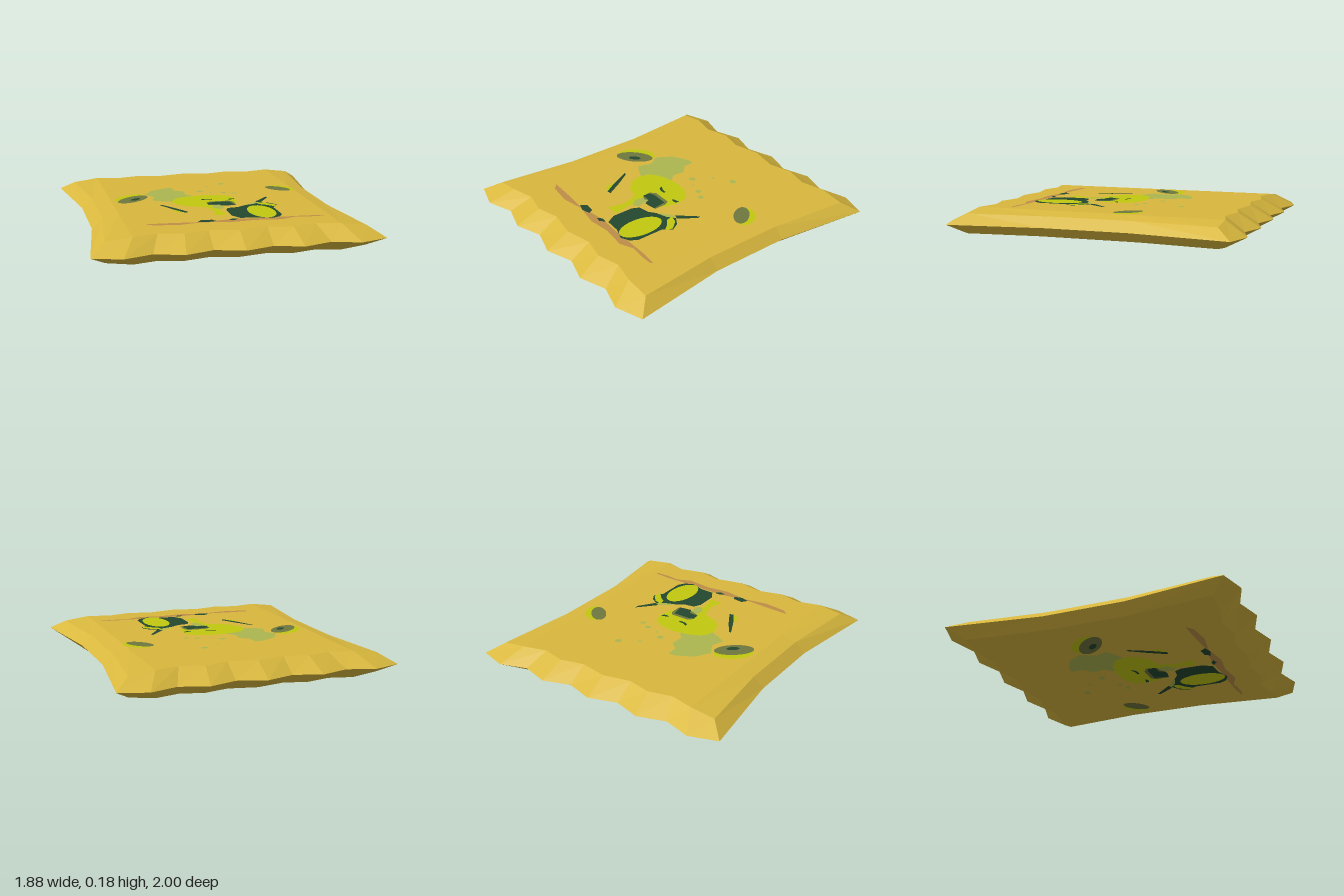
import * as THREE from 'three';

const MID = 0.09, HALF = 0.087;
const paint = (name, color) => new THREE.MeshStandardMaterial({ name, color });

export function createModel() {
  const group = new THREE.Group();
  group.name = 'snackBag';
  const bagYellow = paint('bagYellow', 0xd9b83e);
  const lime = paint('lime', 0xc2c80f);
  const darkGreen = paint('darkGreen', 0x23482f);
  const olive = paint('olive', 0x6f773e);
  const paleGreen = paint('paleGreen', 0xadb64f);
  const brown = paint('brown', 0xbe8e49);

  // Pillow-shaped bag: crimped ends, pinched sides, flat faces
  const rimX = [0, 0.19, 0.375, 0.565, 0.75, 0.94];
  const foldX = [0, 0.19, 0.35, 0.51, 0.67, 0.84];
  const foldZ = [0.84, 0.8, 0.84, 0.8, 0.84, 0.84];
  const point = (row, col, face) => {
    // rows: rim, fold, waist, waist, fold, rim; columns -6..6, the last being the side seam
    const sx = Math.sign(col), sz = row < 3 ? -1 : 1, k = Math.abs(col), i = Math.min(k, 5);
    const r = row < 3 ? row : 5 - row;
    const seam = k === 6;
    let x, z, h = 0;
    if (r === 0 || (seam && r === 1)) {
      x = rimX[i];
      z = i % 2 ? 0.94 : 1;
    } else if (r === 1) {
      x = foldX[i];
      z = foldZ[i];
    } else {
      x = seam ? 0.85 : k === 5 ? 0.78 : foldX[i];
      z = 0.28;
    }
    if (r === 0 && !seam) z = i === 5 || i % 2 === 1 ? zigzag(i) : zigzag(i);
    if (r > 0 && !seam) h = k === 5 ? 0.065 : HALF;
    return [sx * x, MID + face * h, sz * z];
  };
  function zigzag(i) { return i % 2 ? 0.94 : 1; }

  const verts = [];
  for (const face of [1, -1]) {
    for (let row = 0; row < 5; row++) {
      for (let col = -6; col < 6; col++) {
        const a = point(row, col, face), b = point(row, col + 1, face);
        const c = point(row + 1, col, face), d = point(row + 1, col + 1, face);
        const tris = face > 0 ? [a, c, b, b, c, d] : [a, b, c, b, d, c];
        verts.push(...tris.flat());
      }
    }
  }
  // Rim zigzag peaks between the corners
  const bagGeo = new THREE.BufferGeometry();
  bagGeo.setAttribute('position', new THREE.Float32BufferAttribute(verts, 3));
  bagGeo.computeVertexNormals();
  const bag = new THREE.Mesh(bagGeo, bagYellow);
  bag.name = 'bag';
  group.add(bag);

  // Printed shape on both faces; coordinates are x, z in hundredths
  const print = (name, mat, layer, coords) => {
    for (const s of [1, -1]) {
      const pts = [];
      for (let i = 0; i < coords.length; i += 2) {
        pts.push(new THREE.Vector2(coords[i] / 100, -s * coords[i + 1] / 100));
      }
      const geo = new THREE.ShapeGeometry(new THREE.Shape(pts));
      geo.rotateX(-s * Math.PI / 2);
      const mesh = new THREE.Mesh(geo, mat);
      mesh.name = name + (s > 0 ? 'Top' : 'Bottom');
      mesh.position.y = MID + s * (HALF + layer * 0.001);
      group.add(mesh);
    }
  };
  const oval = (name, mat, layer, x, z, a, b, degrees = 0) => {
    const t = degrees * Math.PI / 180, coords = [];
    for (let i = 0; i < 28; i++) {
      const u = i / 28 * Math.PI * 2, p = a * Math.cos(u), q = b * Math.sin(u);
      coords.push(x + p * Math.cos(t) - q * Math.sin(t), z + p * Math.sin(t) + q * Math.cos(t));
    }
    print(name, mat, layer, coords);
  };

  // Tilted cymbals
  oval('leftCymbal', lime, 1, -53, -12, 13.5, 8.5, -42);
  oval('leftCymbalFace', olive, 2, -51.5, -9, 13.5, 6.8, -40);
  oval('leftCymbalHub', darkGreen, 3, -50, -8, 4.4, 2.2, -40);
  oval('rightCymbal', lime, 1, 59, -18.5, 10.5, 6.8, 48);
  oval('rightCymbalFace', olive, 2, 56.5, -17.5, 10.2, 5.3, 48);

  // Pale splash and droplets
  print('splash', paleGreen, 1, [-41, -21, -35, -31, -28, -35, -22, -37.5, -18, -37, -18, -29,
    -12, -24, -13, -15, -8, -9, -22, -4, -26, 4, -33, 1, -39, -3, -36, -12]);
  for (const [x, z, r] of [[20, -42, 2.5], [7.5, -34.5, 1.2], [-0.5, -22, 2.4], [15, -14.5, 2],
    [22, -11, 2], [6, -17, 1]]) oval('droplet', paleGreen, 1, x, z, r, r * 0.9);

  // Ground strip
  print('ground', brown, 1, [-54.5, 57.5, -39, 58.5, -20, 60.5, 3, 58, 22, 59.5, 38, 60, 51, 60.5,
    63, 62, 62, 63.5, 53, 63.5, 43, 62, 33, 66, 16, 63.5, 0, 65, -18, 61.5, -34, 64, -50, 61.5]);

  // Head, neck and face
  print('head', lime, 2, [-26.5, 6, -25, -1, -21, -5, -14, -8, -5, -9.5, 5, -9, 12, -6, 17, -2, 18.5, 6,
    17, 15, 12, 22, 1, 21.5, 0, 35, 2.5, 46.5, -7, 46.5, -4, 36, -7, 24, -18, 20, -24, 14]);
  print('muzzle', olive, 3, [-4.5, 13, -1, 10, 12.5, 10.5, 14.5, 14, 14.5, 23, 8, 24, -3, 20]);
  print('mouth', darkGreen, 3.5, [-4, 14, 0, 12.5, 12, 13, 13.5, 23, 5, 24, 3, 19.5, -4, 19]);
  print('leftBrow', darkGreen, 3, [-5.5, 1.5, -2, 3.5, 2, 4, 1.5, 5.5, -2, 5.5, -5, 4]);
  print('rightBrow', darkGreen, 3, [12, 6, 17.5, 4.5, 17, 7, 14, 7.5]);
  print('beard', paleGreen, 3, [-2, 21, 3, 20, 5, 30, 1, 32, -3, 27]);

  // Drumsticks and hands
  print('leftHand', lime, 1, [-29, 26, -23, 35, -27, 34, -31, 30]);
  print('leftStick', darkGreen, 2, [-37, 10.5, -35, 11, -28, 22, -21, 34.5, -24, 35, -30, 25]);
  print('rightArm', paleGreen, 1, [20, 24, 29, 18, 33, 21, 25, 25]);
  print('rightStick', darkGreen, 2, [40.5, 5, 41, 7.5, 33, 19, 29, 17.5]);
  print('rightHand', lime, 3, [29, 20, 35, 22, 40.5, 28.5, 39, 34, 35, 29, 30, 25]);

  // Drum and feet
  print('drum', darkGreen, 2, [4, 35, 6.5, 30, 14, 29, 19, 25.5, 27, 23, 32, 19, 38, 23, 41.5, 29, 37, 35,
    37, 47, 37, 54, 34, 59, 28, 61.5, 19, 58, 8, 57, 4, 50]);
  oval('drumHead', lime, 3.5, 26, 44, 9, 16.3);
  print('leftFoot', darkGreen, 2, [-21, 60, -18, 56, -11, 57, -9, 60.5, -15, 62]);
  print('rightFoot', darkGreen, 2, [-1, 60, 2, 57.5, 6.5, 58, 3, 61]);

  return group;
}
